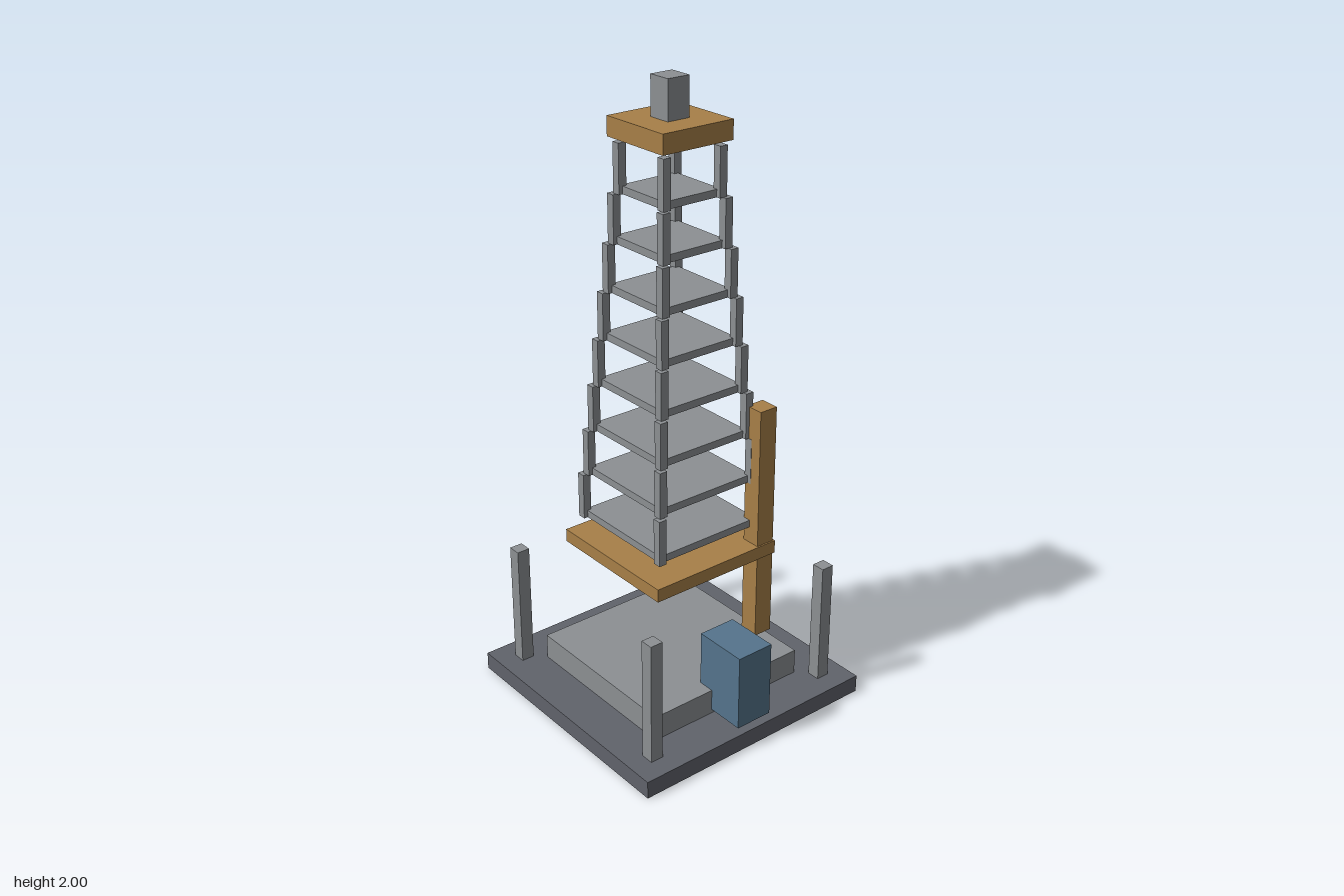
import * as THREE from 'three';

const material = (color) => new THREE.MeshStandardMaterial({ color });

export function createModel() {
  const model = new THREE.Group();
  model.name = 'drillingDerrick';

  const steel = material(0x8c9093);
  const darkSteel = material(0x60636b);
  const ochre = material(0xa88048);
  const blue = material(0x55748c);

  // Box standing on height y0 and reaching y1, centred on x and z
  function block(name, mat, x, z, width, depth, y0, y1, parent = model) {
    const mesh = new THREE.Mesh(new THREE.BoxGeometry(width, y1 - y0, depth), mat);
    mesh.name = name;
    mesh.position.set(x, (y0 + y1) / 2, z);
    parent.add(mesh);
    return mesh;
  }

  // The same box repeated at four corners
  function corners(name, mat, offset, size, y0, y1, parent = model) {
    for (const x of [-offset, offset])
      for (const z of [-offset, offset])
        block(name, mat, x, z, size, size, y0, y1, parent);
  }

  // Base, plinth and corner posts
  block('basePlate', darkSteel, 0, 0, 0.858, 0.858, 0, 0.058);
  block('plinth', steel, 0, 0, 0.573, 0.573, 0.058, 0.142);
  corners('cornerPost', steel, 0.341, 0.043, 0.058, 0.466);

  // Control cabin, drill floor and standing pipe
  block('controlCabin', blue, 0, 0.322, 0.128, 0.18, 0.071, 0.323);
  block('drillFloor', ochre, 0, 0, 0.466, 0.466, 0.502, 0.545);
  block('standPipe', ochre, 0.196, 0.196, 0.064, 0.064, 0.218, 1.005);

  // Tapering tower: each level has a deck and four legs
  const levels = 8, levelHeight = 0.151, towerBase = 0.598;
  for (let i = 0; i < levels; i++) {
    const level = new THREE.Group();
    level.name = `towerLevel${i + 1}`;
    model.add(level);
    const offset = 0.189 - i * 0.0125;
    const y = towerBase + i * levelHeight;
    block('deck', steel, 0, 0, offset * 2, offset * 2, y, y + 0.024, level);
    corners('towerLeg', steel, offset, 0.027, y, y + levelHeight, level);
  }

  // Crown platform and crown block
  block('crownPlatform', ochre, 0, 0, 0.252, 0.252, 1.82, 1.88);
  block('crownBlock', steel, 0, 0, 0.077, 0.077, 1.88, 2);

  return model;
}
